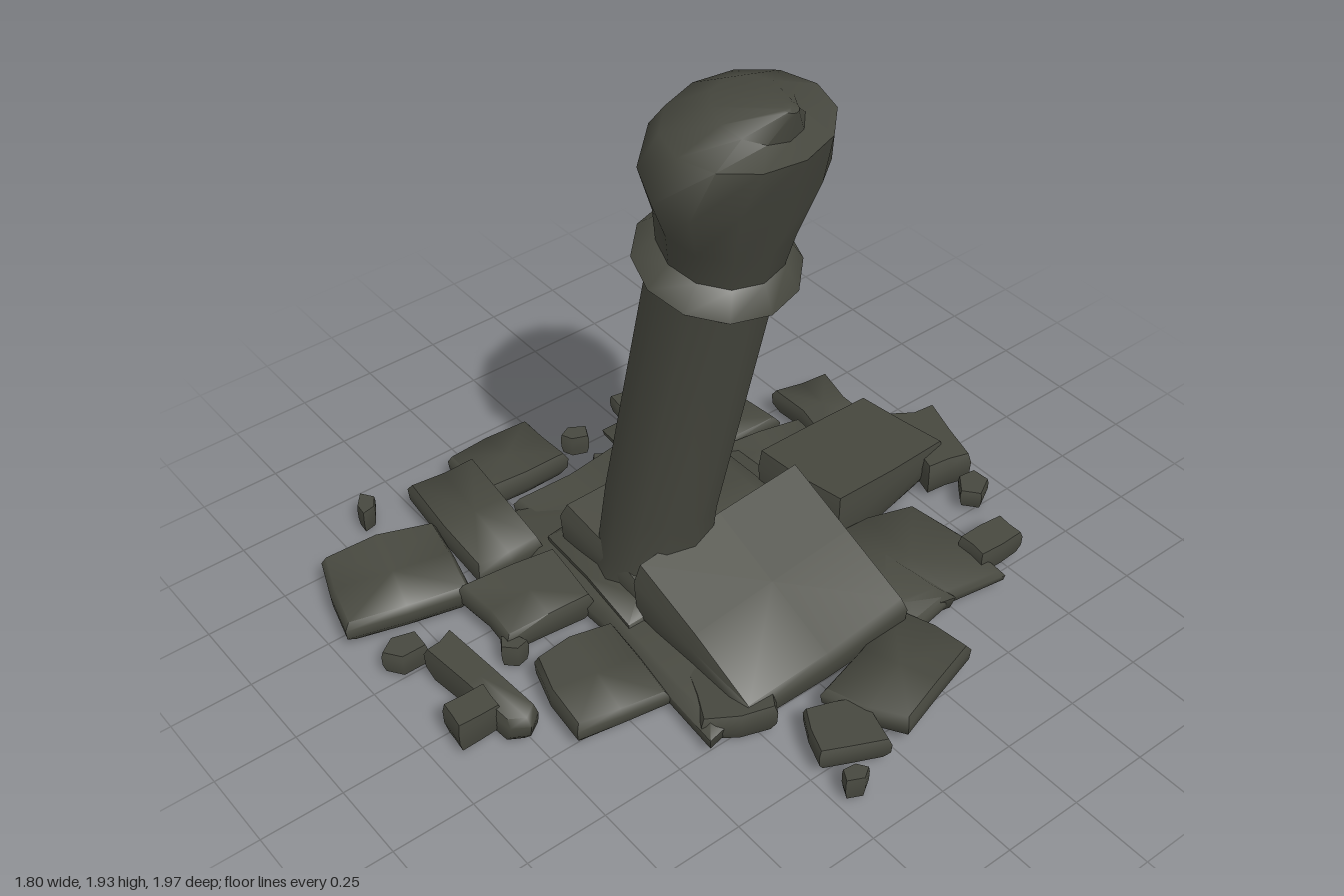
import * as THREE from 'three';
import { toCreasedNormals } from 'three/addons/utils/BufferGeometryUtils.js';

// Closed surface through rings that run counter-clockwise seen from above
function loft(rings) {
  const pos = [];
  const tri = (...p) => p.forEach(v => pos.push(v.x, v.y, v.z));
  const centre = r => r.reduce((s, v) => s.add(v), new THREE.Vector3()).divideScalar(r.length);
  const n = rings[0].length, last = rings[rings.length - 1];
  const top = centre(last), bottom = centre(rings[0]);
  for (let j = 0; j < n; j++) {
    const k = (j + 1) % n;
    for (let i = 0; i < rings.length - 1; i++) {
      const a = rings[i][j], b = rings[i][k], c = rings[i + 1][j], d = rings[i + 1][k];
      tri(a, b, d);
      tri(a, d, c);
    }
    tri(top, last[j], last[k]);
    tri(bottom, rings[0][k], rings[0][j]);
  }
  const g = new THREE.BufferGeometry();
  g.setAttribute('position', new THREE.Float32BufferAttribute(pos, 3));
  return toCreasedNormals(g, 1.1);
}

export function createModel() {
  const group = new THREE.Group();
  const stone = new THREE.MeshStandardMaterial({ color: 0x47483f });
  stone.name = 'dark stone';
  const add = (name, geometry) => {
    const m = new THREE.Mesh(geometry, stone);
    m.name = name;
    group.add(m);
  };
  let seed = 7;
  const random = () => (seed = (seed * 16807) % 2147483647) / 2147483647;

  // Boxy broken stone of w by d, turned by turn, with an optionally sloping top
  function rock({ x, z, w, d, turn = 0, y0 = 0.02, y1, sx = 0, sz = 0, sides = 8, rough = 0.22, top = 0.92 }) {
    const outline = Array.from({ length: sides }, (_, i) => {
      const a = i / sides * Math.PI * 2, c = Math.cos(a), s = -Math.sin(a);
      const r = 0.5 / Math.max(Math.abs(c), Math.abs(s)) * (1 + rough * (random() - 0.65));
      const px = c * r * w, pz = s * r * d;
      return [px * Math.cos(turn) - pz * Math.sin(turn), px * Math.sin(turn) + pz * Math.cos(turn)];
    });
    const ring = (scale, t) => outline.map(([px, pz]) =>
      new THREE.Vector3(x + px * scale, y0 + (y1 + (sx * px + sz * pz) * scale - y0) * t, z + pz * scale));
    return loft([ring(0.84, 0), ring(0.98, 0.35), ring(1, 0.75), ring(top, 1)]);
  }

  // Leaning column: rings perpendicular to the tilted axis
  const ring = (x, y, r, z = 0.13, rz = r, lift = () => 0) => Array.from({ length: 12 }, (_, j) => {
    const a = j / 12 * Math.PI * 2, c = Math.cos(a) * r;
    return new THREE.Vector3(x + 0.967 * c, y - 0.255 * c + lift(a), z - Math.sin(a) * rz);
  });
  add('columnShaft', loft([ring(-0.1, 0.1, 0.18), ring(-0.08, 0.22, 0.168), ring(-0.04, 0.45, 0.165), ring(0.18, 1.32, 0.17)]));
  add('columnCollar', loft([ring(0.18, 1.31, 0.17), ring(0.2, 1.365, 0.22), ring(0.22, 1.43, 0.17)]));

  // Broken head flaring out to a jagged rim, rising to a point on the +x side
  add('brokenHead', loft([
    ring(0.215, 1.41, 0.165),
    ring(0.25, 1.54, 0.175, 0.14, 0.19),
    ring(0.29, 1.71, 0.205, 0.15, 0.25, a => 0.03 * Math.cos(2 * a)),
    ring(0.33, 1.79, 0.215, 0.145, 0.21, a => 0.04 + 0.05 * Math.cos(a) + 0.02 * Math.sin(a)),
    ring(0.35, 1.865, 0.12, 0.135, 0.11),
    ring(0.46, 1.92, 0.02),
  ]));

  // Low bed and the mound that holds the column
  add('rubbleBed', rock({ x: -0.02, z: -0.02, w: 1.08, d: 0.86, y0: 0, y1: 0.11 }));
  add('columnMound', rock({ x: -0.15, z: 0.02, w: 0.46, d: 0.66, y1: 0.18, sz: -0.06, top: 0.8 }));
  add('columnFoot', rock({ x: -0.1, z: 0.12, w: 0.42, d: 0.36, y0: 0.08, y1: 0.235, sx: -0.22, rough: 0.1 }));

  // Large tilted blocks
  add('frontTiltedBlock', rock({ x: 0.3, z: 0.01, w: 0.49, d: 0.59, y1: 0.25, sx: -0.4, sz: -0.12, rough: 0.06, top: 0.95 }));
  add('backTiltedBlock', rock({ x: -0.03, z: -0.59, w: 0.32, d: 0.54, turn: -0.18, y1: 0.21, sz: 0.22, rough: 0.08, top: 0.97 }));
  add('leftShard', new THREE.ConeGeometry(0.14, 0.2, 4).translate(-0.52, 0.175, -0.2));

  // Slabs scattered around the column: x, z, width, depth, turn
  [
    [-0.52, 0.76, 0.31, 0.4, 0.25],
    [-0.58, 0.43, 0.48, 0.23, 0.1],
    [-0.75, 0.2, 0.24, 0.31, 0],
    [-0.44, 0.1, 0.28, 0.42, 0],
    [-0.52, -0.36, 0.31, 0.46, 0.08],
    [-0.27, -0.47, 0.16, 0.32, 0.2],
    [-0.33, -0.74, 0.26, 0.2, 0.1],
    [0.02, -0.88, 0.3, 0.16, 0.3],
    [0.36, -0.48, 0.4, 0.38, 0],
    [0.45, -0.72, 0.1, 0.18, 0],
    [0.67, -0.15, 0.27, 0.38, -0.3],
    [0.72, 0.11, 0.18, 0.2, 0.4],
    [0.45, 0.27, 0.22, 0.24, 0.5],
    [0.16, 0.53, 0.3, 0.28, 0.12],
    [-0.2, 0.49, 0.25, 0.32, 0.1],
    [-0.02, 0.79, 0.4, 0.1, -0.1],
    [0.06, 0.87, 0.1, 0.15, 0],
  ].forEach(([x, z, w, d, turn], i) => add('slab' + (i + 1), rock({
    x, z, w, d, turn, y0: 0.015 + 0.02 * random(), y1: 0.1 + 0.035 * random(),
    sx: 0.2 * (random() - 0.5), sz: 0.2 * (random() - 0.5),
  })));

  // Small chips at the edge: x, z, width
  [
    [-0.76, -0.28, 0.13],
    [-0.64, -0.2, 0.13],
    [-0.73, -0.04, 0.08],
    [-0.57, -0.04, 0.1],
    [0.22, -0.87, 0.11],
    [0.86, 0.19, 0.07],
    [0.48, 0.36, 0.06],
    [-0.85, 0.65, 0.09],
    [-0.28, 0.88, 0.12],
    [-0.1, 0.63, 0.08],
  ].forEach(([x, z, w], i) =>
    add('chip' + (i + 1), rock({ x, z, w, d: w * 0.8, turn: i, y1: 0.06 + 0.04 * random(), sides: 5, rough: 0.5 })));

  return group;
}
